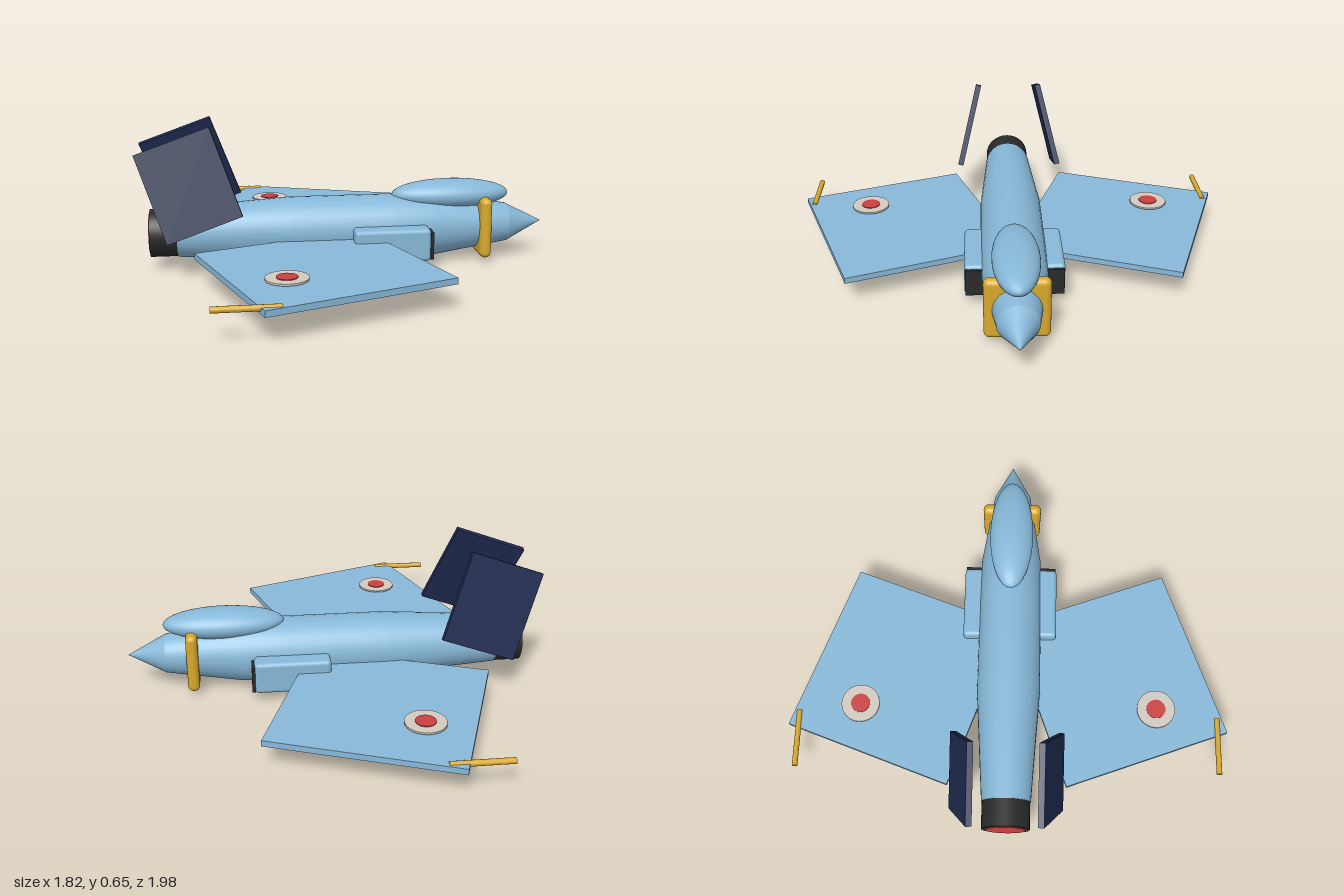
import * as THREE from 'three';
import { RoundedBoxGeometry } from 'three/addons/geometries/RoundedBoxGeometry.js';

const mat = (name, color) => {
  const m = new THREE.MeshStandardMaterial({ color });
  m.name = name;
  return m;
};

export function createModel() {
  const blue = mat('sky blue', 0x87b8d8);
  const navy = mat('navy', 0x1f2a50);
  const dark = mat('charcoal', 0x2a2a2a);
  const yellow = mat('golden yellow', 0xd9a92c);
  const cream = mat('warm white', 0xd2cac0);
  const red = mat('red', 0xcc4040);

  const model = new THREE.Group();
  model.name = 'jet';
  const add = (name, geometry, material, x, y, z, parent = model) => {
    const mesh = new THREE.Mesh(geometry, material);
    mesh.name = name;
    mesh.position.set(x, y, z);
    parent.add(mesh);
    return mesh;
  };
  // Lathe lying along x; points are [x, radius] from tail to nose
  const latheX = (points, segments = 32) =>
    new THREE.LatheGeometry(points.map(([x, r]) => new THREE.Vector2(r, x)), segments).rotateZ(-Math.PI / 2);

  // Fuselage, nose and exhaust
  const axisY = 0.163;
  add('fuselage', latheX([[-0.745, 0], [-0.745, 0.109], [-0.745, 0.109], [-0.25, 0.143], [0.2, 0.143], [0.4, 0.14], [0.74, 0.087]]), blue, 0, axisY, 0);
  add('nose', latheX([[0.74, 0.087], [0.908, 0]]), blue, 0, axisY, 0);
  add('nozzle', new THREE.CylinderGeometry(0.106, 0.106, 0.13, 32).rotateZ(Math.PI / 2), dark, -0.798, axisY, 0);
  add('exhaustGlow', new THREE.CylinderGeometry(0.088, 0.088, 0.006, 32).rotateZ(Math.PI / 2), red, -0.864, axisY, 0);

  // Canopy and the band around the nose
  add('canopy', new THREE.SphereGeometry(1, 32, 20).scale(0.268, 0.067, 0.1), blue, 0.478, 0.304, 0);
  add('noseBand', new RoundedBoxGeometry(0.052, 0.272, 0.272, 4, 0.025), yellow, 0.62, 0.164, 0);

  for (const side of [1, -1]) {
    const half = new THREE.Group();
    half.name = side > 0 ? 'rightSide' : 'leftSide';
    model.add(half);

    // Air intake
    add('intake', new RoundedBoxGeometry(0.335, 0.145, 0.11, 3, 0.018), blue, 0.185, 0.122, side * 0.16, half);
    add('intakeMouth', new THREE.BoxGeometry(0.014, 0.12, 0.076), dark, 0.357, 0.118, side * 0.173, half);

    // Swept wing
    add('wing', new THREE.BoxGeometry(0.8, 0.026, 0.77), blue, -0.161, 0.128, side * 0.4925, half)
      .rotation.y = side * 0.345;

    // Wing tip rod
    add('tipRod', new THREE.CylinderGeometry(0.0125, 0.0125, 0.255, 12).rotateZ(Math.PI / 2), yellow, -0.47, 0.137, side * 0.946, half);

    // Round wing marking
    add('markingDisc', new THREE.CylinderGeometry(0.086, 0.086, 0.008, 32), cream, -0.308, 0.151, side * 0.67, half);
    add('markingCentre', new THREE.CylinderGeometry(0.043, 0.043, 0.005, 20), red, -0.308, 0.156, side * 0.67, half);

    // Underwing pod
    add('pod', latheX([[-0.305, 0], [-0.305, 0.02], [-0.255, 0.048], [-0.25, 0.048], [0.045, 0.048], [0.05, 0.048], [0.113, 0.008], [0.115, 0]], 24),
      cream, 0, 0.053, side * 0.525, half);

    // Tail fin, raked back and leaning inward
    add('tailFin', new THREE.BoxGeometry(0.336, 0.4, 0.026), navy, -0.685, 0.411, side * 0.19, half)
      .rotation.set(-side * 0.235, 0, 0.345, 'ZYX');
  }
  return model;
}
